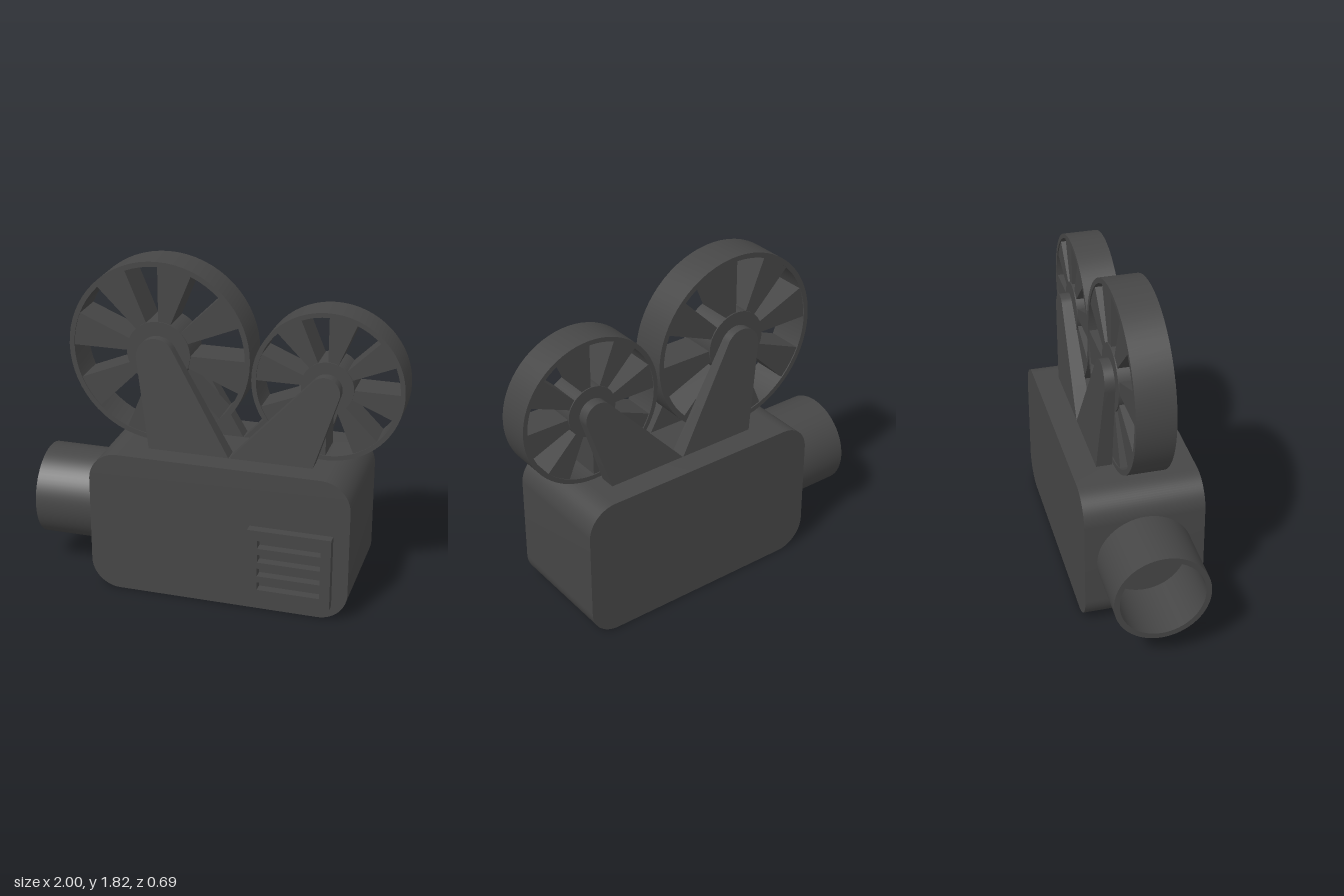
import * as THREE from 'three';
import { toCreasedNormals } from 'three/addons/utils/BufferGeometryUtils.js';

const charcoal = new THREE.MeshStandardMaterial({ color: 0x464646 });
const MID_Z = -0.0225;

// Extrude a shape from z0 to z1 with smooth curves and sharp edges
function slab(shape, z0, z1, curveSegments = 12) {
  const g = new THREE.ExtrudeGeometry(shape, { depth: z1 - z0, bevelEnabled: false, curveSegments });
  g.translate(0, 0, z0);
  return g;
}

function add(parent, name, geometry) {
  const m = new THREE.Mesh(toCreasedNormals(geometry, 0.6), charcoal);
  m.name = name;
  parent.add(m);
  return m;
}

function rect(path, x0, y0, x1, y1) {
  return path.moveTo(x0, y0).lineTo(x1, y0).lineTo(x1, y1).lineTo(x0, y1).closePath();
}

function roundedRect(x0, y0, x1, y1, r) {
  const s = new THREE.Shape();
  s.absarc(x1 - r, y1 - r, r, 0, Math.PI / 2);
  s.absarc(x0 + r, y1 - r, r, Math.PI / 2, Math.PI);
  s.absarc(x0 + r, y0 + r, r, Math.PI, Math.PI * 1.5);
  s.absarc(x1 - r, y0 + r, r, Math.PI * 1.5, Math.PI * 2);
  return s.closePath();
}

function ring(outer, inner) {
  const s = new THREE.Shape().absarc(0, 0, outer, 0, Math.PI * 2);
  s.holes.push(new THREE.Path().absarc(0, 0, inner, 0, Math.PI * 2, true));
  return s;
}

// Film reel: rim, hub and eight wedge spokes
function makeReel(name, x, y, outer, inner, hub, depth) {
  const reel = new THREE.Group();
  reel.name = name;
  const h = depth / 2;
  add(reel, 'reelRim', slab(ring(outer, inner), -h, h, 32));
  add(reel, 'reelHub', slab(new THREE.Shape().absarc(0, 0, hub, 0, Math.PI * 2), -h, h, 32));
  for (let i = 0; i < 8; i++) {
    const a = Math.PI / 8 + i * Math.PI / 4, b = a + Math.PI / 8;
    const s = new THREE.Shape();
    s.absarc(0, 0, inner + 0.005, a, b);
    s.absarc(0, 0, hub - 0.01, b, a, true);
    s.closePath();
    add(reel, 'reelSpoke', slab(s, -h + 0.006, h - 0.006, 4));
  }
  reel.position.set(x, y, MID_Z);
  return reel;
}

// Bracket: round top at the reel axle, flat foot, thicker towards the foot
function makeBracket(parent, name, x, y, r, footLeft, footRight, startAngle, endAngle) {
  const s = new THREE.Shape();
  s.moveTo(footLeft, 0.79).lineTo(footRight, 0.79);
  s.absarc(x, y, r, startAngle, endAngle);
  s.closePath();
  for (const side of [1, -1]) {
    const near = 0.1025, far = 0.1525;
    const g = side > 0 ? slab(s, near, far) : slab(s, -far, -near);
    const p = g.attributes.position;
    for (let i = 0; i < p.count; i++) {
      if (Math.abs(p.getZ(i)) > 0.13) p.setZ(i, p.getZ(i) + side * 0.035 * (1.41 - p.getY(i)) / 0.61);
    }
    add(parent, name, g).position.z = MID_Z;
  }
}

export function createModel() {
  const model = new THREE.Group();
  model.name = 'filmCamera';

  // Housing
  add(model, 'body', slab(roundedRect(-0.65, 0, 0.78, 0.8, 0.16), -0.345, 0.295, 10));

  // Open lens barrel
  const barrel = slab(ring(0.255, 0.225), 0, 0.36, 32);
  barrel.rotateY(-Math.PI / 2);
  add(model, 'lensBarrel', barrel).position.set(-0.64, 0.405, -0.025);

  // Side panel with four slots
  const panel = rect(new THREE.Shape(), 0.245, 0.08, 0.695, 0.49);
  for (let i = 0; i < 4; i++) {
    const y = 0.14 + i * 0.082;
    panel.holes.push(rect(new THREE.Path(), 0.3, y, 0.64, y + 0.046));
  }
  add(model, 'ventPanel', slab(panel, 0.295, 0.345));

  // Reels
  model.add(makeReel('largeReel', -0.32, 1.315, 0.5, 0.472, 0.175, 0.205));
  model.add(makeReel('smallReel', 0.59, 1.22, 0.405, 0.38, 0.14, 0.188));

  // Reel brackets on both sides
  makeBracket(model, 'largeReelBracket', -0.32, 1.307, 0.106, -0.353, 0.095, 0.52, Math.PI + 0.14);
  makeBracket(model, 'smallReelBracket', 0.59, 1.218, 0.082, 0.085, 0.542, -0.29, Math.PI * 0.76);

  return model;
}
